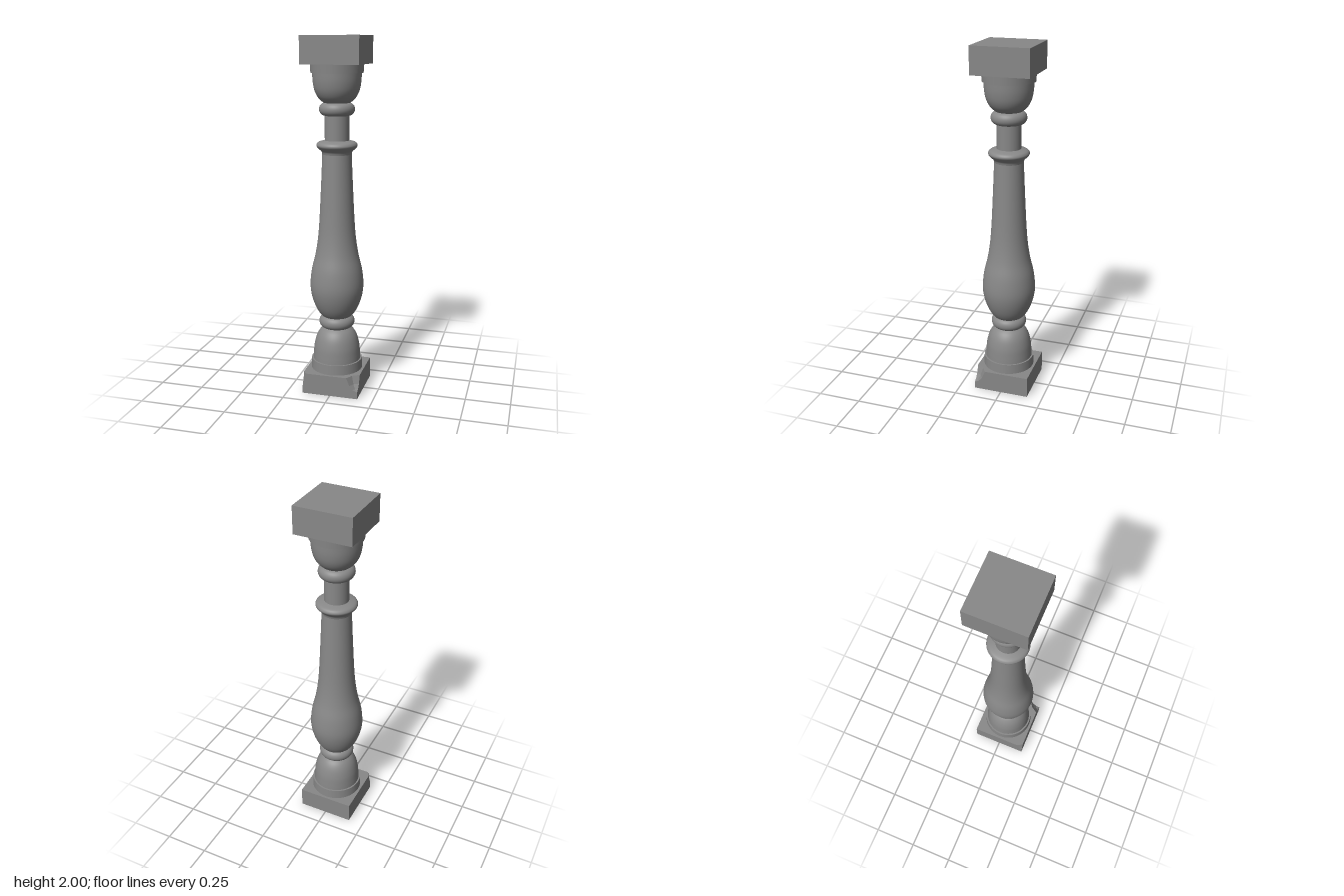
import * as THREE from 'three';

const material = new THREE.MeshStandardMaterial({ color: 0x888888 });
const HALF = 0.161;
const SEGMENTS = 48;

// Square plinth lofted through levels [y, scoop at +x+z corner, chip at -x+z corner]
function chippedPlinth(levels) {
  // each ring runs clockwise seen from above
  const rings = levels.map(([y, scoop, chip]) => {
    const dent = scoop * 0.62;
    return [
      [HALF, -HALF], [HALF, HALF - scoop], [HALF - dent, HALF - dent], [HALF - scoop, HALF],
      [-HALF + chip * 0.5, HALF], [-HALF, HALF - chip], [-HALF, -HALF],
    ].map(([x, z]) => [x, y, z]);
  });
  const positions = [];
  const tri = (...corners) => positions.push(...corners.flat());
  const n = rings[0].length;
  const bottom = rings[0], top = rings[rings.length - 1];
  for (let i = 0; i < n; i++) {
    const j = (i + 1) % n;
    for (let r = 0; r < rings.length - 1; r++) {
      const a = rings[r][i], b = rings[r][j], c = rings[r + 1][j], d = rings[r + 1][i];
      tri(a, d, c);
      tri(a, c, b);
    }
    tri([0, top[0][1], 0], top[j], top[i]);
    tri([0, bottom[0][1], 0], bottom[i], bottom[j]);
  }
  const geometry = new THREE.BufferGeometry();
  geometry.setAttribute('position', new THREE.Float32BufferAttribute(positions, 3));
  geometry.computeVertexNormals();
  return geometry;
}

// Smooth turned section through [radius, y] points, bottom to top
function turned(points) {
  const curve = new THREE.SplineCurve(points.map(([r, y]) => new THREE.Vector2(r, y)));
  return new THREE.LatheGeometry(curve.getPoints(points.length * 4), SEGMENTS);
}

// Rounded bead with a half-elliptical outline
function bead(inner, outer, y, halfHeight) {
  const points = [];
  for (let i = 0; i <= 14; i++) {
    const a = -Math.PI / 2 + (Math.PI * i) / 14;
    points.push(new THREE.Vector2(inner + (outer - inner) * Math.cos(a), y + halfHeight * Math.sin(a)));
  }
  return new THREE.LatheGeometry(points, SEGMENTS);
}

function drum(bottomRadius, topRadius, y0, y1) {
  return new THREE.CylinderGeometry(topRadius, bottomRadius, y1 - y0, SEGMENTS).translate(0, (y0 + y1) / 2, 0);
}

export function createModel() {
  const group = new THREE.Group();
  const add = (name, geometry) => {
    const mesh = new THREE.Mesh(geometry, material);
    mesh.name = name;
    group.add(mesh);
  };

  // base, with its broken front corners
  add('basePlinth', chippedPlinth([
    [0, 0.001, 0.001], [0.04, 0.001, 0.001], [0.052, 0.026, 0.008],
    [0.075, 0.045, 0.02], [0.12, 0.064, 0.036],
  ]));
  add('baseCollar', drum(0.147, 0.145, 0.12, 0.177));
  add('lowerBell', turned([
    [0.136, 0.175], [0.134, 0.21], [0.129, 0.26], [0.116, 0.31], [0.096, 0.345], [0.07, 0.367],
  ]));
  add('lowerBead', bead(0.068, 0.101, 0.4, 0.036));

  // vase-shaped shaft
  add('shaft', turned([
    [0.07, 0.43], [0.09, 0.44], [0.119, 0.485], [0.142, 0.55], [0.151, 0.62], [0.142, 0.71],
    [0.121, 0.8], [0.107, 0.89], [0.098, 1.0], [0.088, 1.2], [0.081, 1.365],
  ]));
  add('shaftRing', turned([
    [0.081, 1.365], [0.086, 1.38], [0.1, 1.394], [0.112, 1.408], [0.112, 1.42], [0.1, 1.432], [0.066, 1.441],
  ]));

  // neck and capital
  add('neck', drum(0.067, 0.067, 1.43, 1.59));
  add('upperBead', bead(0.066, 0.098, 1.61, 0.035));
  add('upperBell', turned([
    [0.064, 1.64], [0.083, 1.652], [0.105, 1.675], [0.122, 1.71], [0.131, 1.755], [0.134, 1.805],
  ]));
  add('capitalCollar', drum(0.143, 0.146, 1.803, 1.85));
  add('capitalBlock', new THREE.BoxGeometry(HALF * 2, 0.15, HALF * 2).translate(0, 1.925, 0));
  return group;
}
